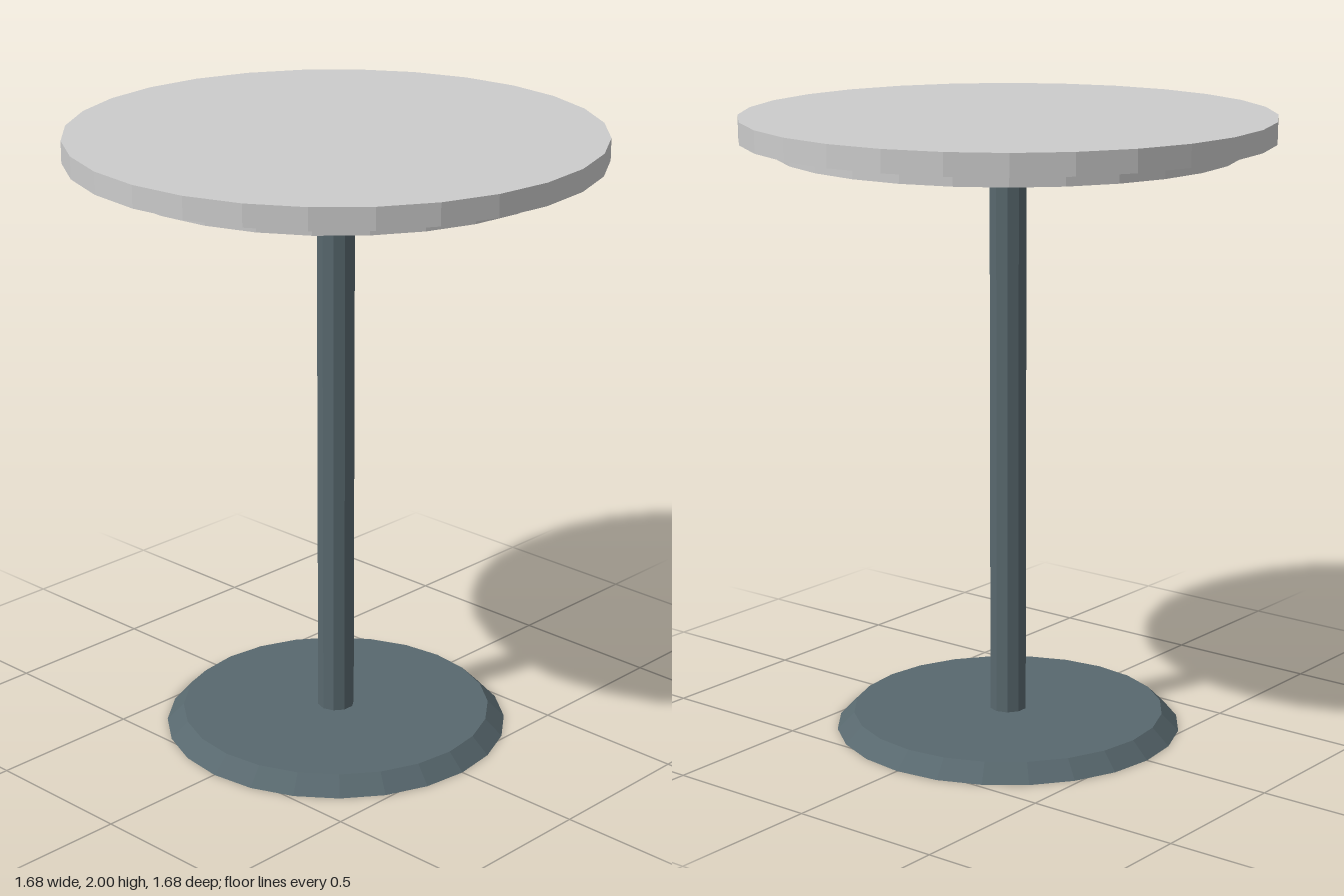
import * as THREE from 'three';

export function createModel() {
  const group = new THREE.Group();
  const grey = new THREE.MeshStandardMaterial({ color: 0xcccccc, flatShading: true });
  const metal = new THREE.MeshStandardMaterial({ color: 0x58686e, flatShading: true });

  // Upright round part spanning y0 to y1
  function disc(name, rTop, rBottom, y0, y1, sides, material) {
    const mesh = new THREE.Mesh(new THREE.CylinderGeometry(rTop, rBottom, y1 - y0, sides), material);
    mesh.name = name;
    mesh.position.y = (y0 + y1) / 2;
    group.add(mesh);
  }

  disc('tabletop', 0.84, 0.84, 1.93, 2, 28, grey);
  disc('topSupport', 0.73, 0.73, 1.885, 1.93, 28, grey);
  disc('post', 0.06, 0.06, 0.055, 1.885, 10, metal);
  // Base plate with a bevelled rim
  disc('base', 0.505, 0.56, 0, 0.055, 24, metal);

  return group;
}
